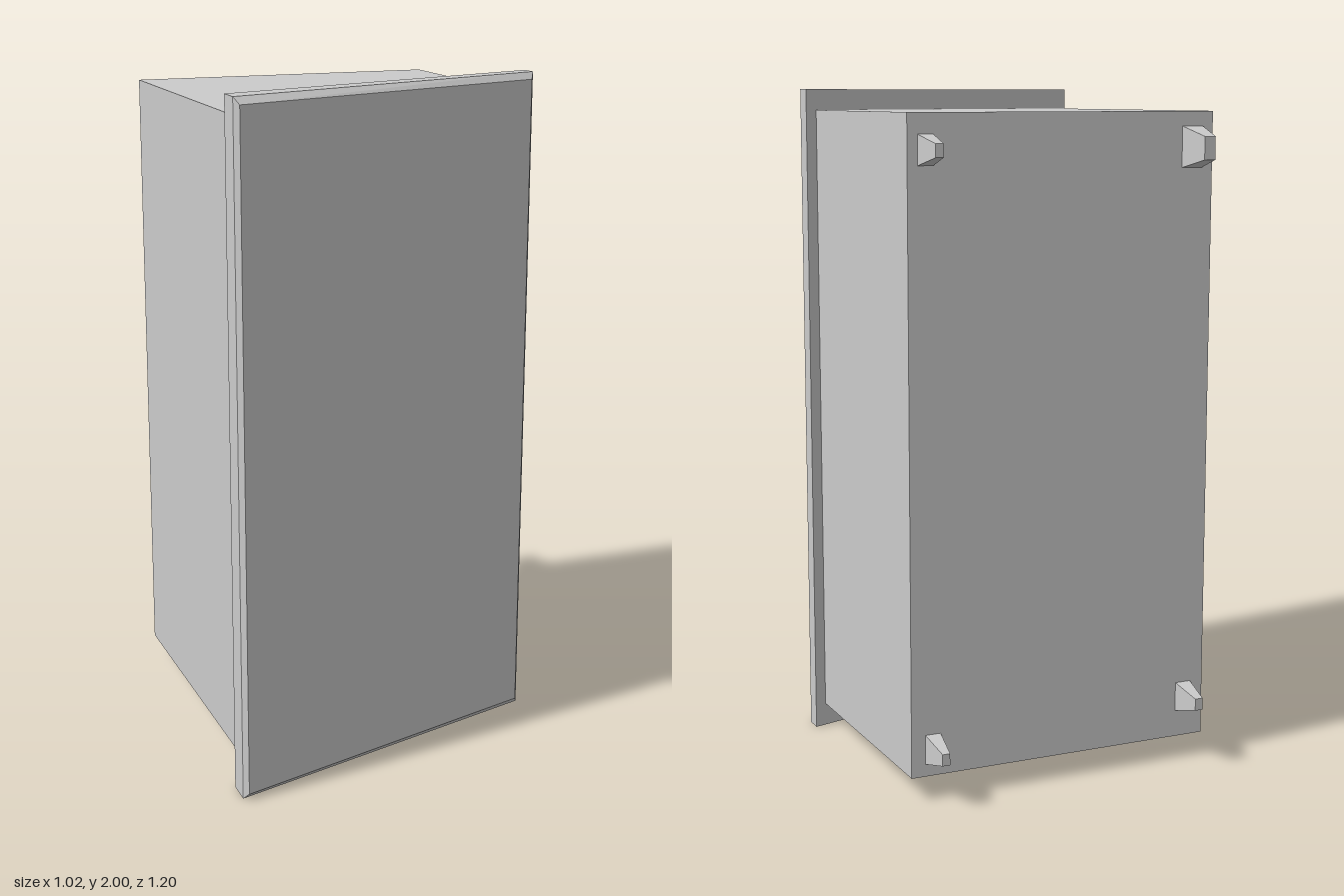
import * as THREE from 'three';

// Rectangle section, counter-clockwise seen from +z; z may differ at its two x edges
const ring = (x0, x1, y0, y1, z0, z1 = z0) => [[x0, y0, z0], [x1, y0, z1], [x1, y1, z1], [x0, y1, z0]];

// Closed solid through four-cornered sections listed from back to front
function loft(name, rings, material) {
  const positions = [];
  const quad = (a, b, c, d) => positions.push(...a, ...b, ...c, ...a, ...c, ...d);
  for (let r = 0; r < rings.length - 1; r++) {
    for (let i = 0; i < 4; i++) {
      const j = (i + 1) % 4;
      quad(rings[r][i], rings[r][j], rings[r + 1][j], rings[r + 1][i]);
    }
  }
  const back = rings[0], front = rings[rings.length - 1];
  quad(back[3], back[2], back[1], back[0]);
  quad(...front);
  const geometry = new THREE.BufferGeometry();
  geometry.setAttribute('position', new THREE.Float32BufferAttribute(positions, 3));
  geometry.computeVertexNormals();
  const mesh = new THREE.Mesh(geometry, material);
  mesh.name = name;
  return mesh;
}

export function createModel() {
  const group = new THREE.Group();
  group.name = 'wallCabinet';
  const material = new THREE.MeshStandardMaterial({ color: 0xcccccc, flatShading: true });

  // Cabinet body with a slanted front
  group.add(loft('body', [
    ring(-0.475, 0.475, 0.07, 1.938, -0.505),
    ring(-0.475, 0.475, 0.07, 1.938, 0.505, 0.228),
  ], material));

  // Overhanging slanted door with a chamfered front edge
  group.add(loft('door', [
    ring(-0.51, 0.51, 0, 2, 0.509, 0.211),
    ring(-0.51, 0.51, 0, 2, 0.584, 0.263),
    ring(-0.497, 0.497, 0.02, 1.98, 0.602, 0.284),
  ], material));

  // Tapered pegs on the back: base x range, base y range, tip x range, tip y range
  const pegs = {
    upperLeftPeg: [0.398, 0.445, 1.795, 1.88, 0.41, 0.433, 1.82, 1.857],
    lowerLeftPeg: [0.385, 0.432, 0.106, 0.193, 0.398, 0.421, 0.132, 0.166],
    upperRightPeg: [-0.442, -0.375, 1.777, 1.896, -0.426, -0.391, 1.802, 1.868],
    lowerRightPeg: [-0.434, -0.384, 0.15, 0.238, -0.421, -0.396, 0.178, 0.214],
  };
  for (const [name, p] of Object.entries(pegs)) {
    group.add(loft(name, [ring(...p.slice(4), -0.603), ring(...p.slice(0, 4), -0.503)], material));
  }
  return group;
}
